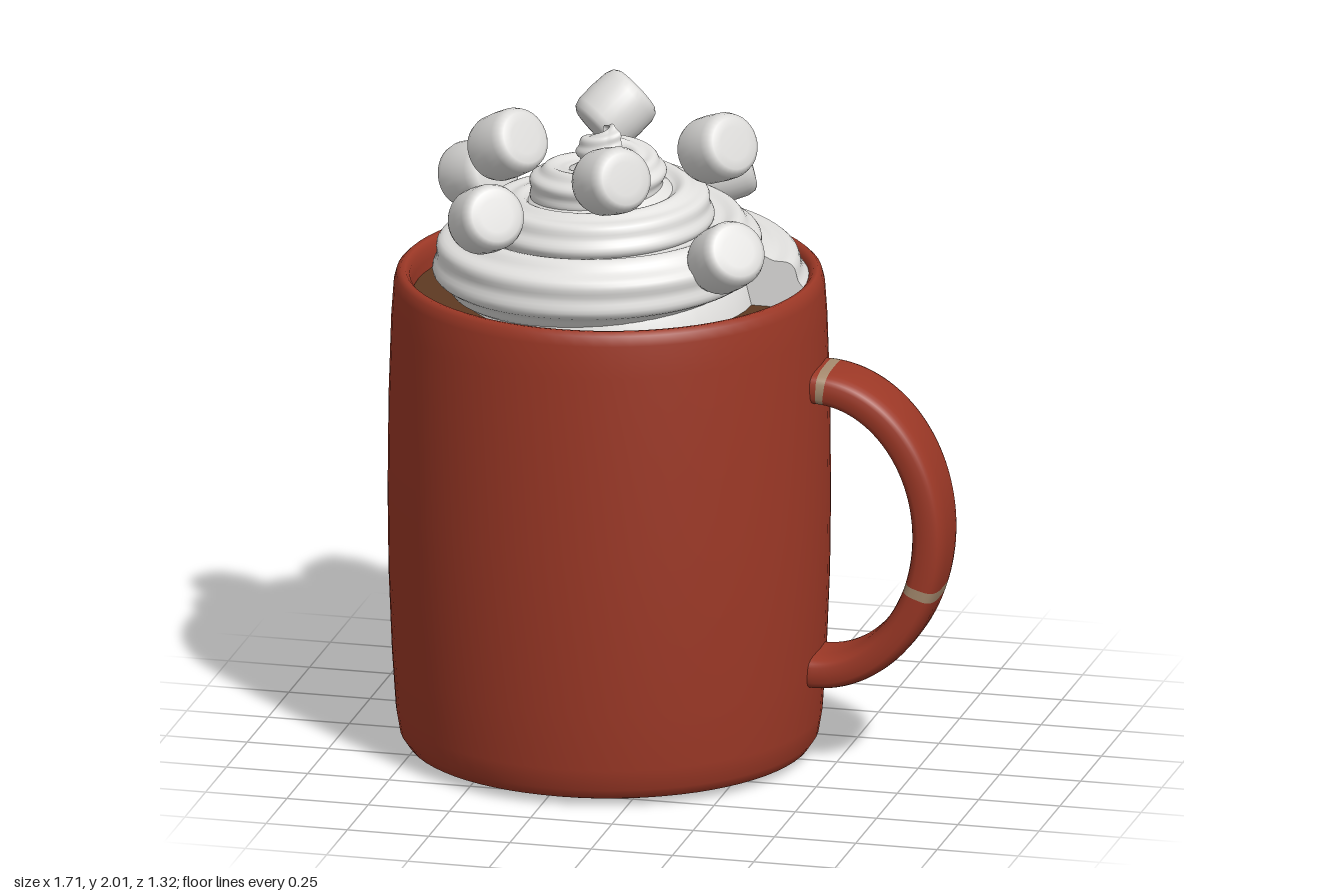
import * as THREE from 'three';

const mat = (name, color) => Object.assign(new THREE.MeshStandardMaterial({ color }), { name });
const V = (x, y, z) => new THREE.Vector3(x, y, z);

// Skin a list of closed rings; pick(i) gives the material slot of each band
function skin(rings, pick) {
  const n = rings[0].length, pos = [], idx = [];
  rings.forEach(r => r.forEach(p => pos.push(p.x, p.y, p.z)));
  const geo = new THREE.BufferGeometry();
  for (let i = 0; i < rings.length - 1; i++) {
    if (pick) geo.addGroup(idx.length, n * 6, pick(i));
    for (let j = 0; j < n; j++) {
      const k = (j + 1) % n, a = i * n, b = a + n;
      idx.push(a + j, b + j, a + k, b + j, b + k, a + k);
    }
  }
  geo.setAttribute('position', new THREE.Float32BufferAttribute(pos, 3));
  geo.setIndex(idx);
  geo.computeVertexNormals();
  return geo;
}

const lathe = (pts, seg) => new THREE.LatheGeometry(pts.map(p => new THREE.Vector2(...p)), seg);

export function createModel() {
  const group = new THREE.Group();
  const glaze = mat('red glaze', 0x9c3826);
  const clay = mat('bare clay', 0xa58a6e);
  const cocoaMat = mat('cocoa', 0x5e3a22);
  const creamMat = mat('cream white', 0xe2e1df);
  const marshMat = mat('marshmallow white', 0xdcdbd9);
  const cx = -0.2;

  function add(name, geo, material, x = 0, y = 0, z = 0) {
    const m = new THREE.Mesh(geo, material);
    m.name = name;
    m.position.set(x, y, z);
    group.add(m);
    return m;
  }

  // Mug body: outside, rounded rim and inside in one profile
  add('mugBody', lathe([
    [0, 0.006], [0.45, 0.004], [0.56, 0.01], [0.605, 0.025], [0.625, 0.055], [0.636, 0.12], [0.648, 0.3],
    [0.658, 0.55], [0.661, 0.8], [0.658, 1.1], [0.65, 1.35], [0.643, 1.45], [0.635, 1.48], [0.622, 1.492],
    [0.608, 1.49], [0.595, 1.475], [0.59, 1.44], [0.585, 1.2], [0.57, 0.12], [0, 0.1],
  ], 72), glaze, cx);
  add('baseSpot', new THREE.CylinderGeometry(0.14, 0.14, 0.006, 40), clay, cx, 0.003);
  add('cocoa', new THREE.CylinderGeometry(0.588, 0.588, 0.02, 64), cocoaMat, cx, 1.4);

  // Handle: flat rounded section along half an ellipse, with two bare bands
  const soft = v => Math.sign(v) * Math.abs(v) ** 0.6;
  const handleRings = [];
  for (let deg = 92; deg >= -92; deg -= 2) {
    const t = deg * Math.PI / 180, c = Math.cos(t), s = Math.sin(t);
    const centre = V(0.45 + 0.35 * c, 0.745 + 0.445 * s, 0);
    const out = V(0.445 * c, 0.35 * s, 0).normalize();
    handleRings.push(Array.from({ length: 24 }, (_, j) => {
      const f = j / 24 * Math.PI * 2;
      return centre.clone().addScaledVector(out, 0.053 * soft(Math.cos(f))).add(V(0, 0, -0.114 * soft(Math.sin(f))));
    }));
  }
  const isBand = i => {
    const deg = 92 - 2 * i;
    return (deg <= 88 && deg > 84) || (deg <= -20 && deg > -24);
  };
  add('handle', skin(handleRings, i => (isBand(i) ? 1 : 0)), [glaze, clay]);

  // Whipped cream: fluted rope coiling inward and upward
  const turns = 3.9, steps = 320, sides = 56, creamRings = [];
  for (let i = 0; i <= steps; i++) {
    const n = i / steps * turns, th = n * Math.PI * 2;
    const a = 0.115 - 0.018 * n;
    const rho = Math.max(0.595 - 0.142 * n - a, 0.012);
    const y = 1.45 + 0.115 * n;
    creamRings.push(Array.from({ length: sides }, (_, j) => {
      const f = j / sides * Math.PI * 2;
      const r = a * (1 + 0.07 * Math.cos(7 * f + th * 0.6));
      const d = rho + r * 1.05 * Math.cos(f);
      return V(d * Math.cos(th), y + r * Math.sin(f), -d * Math.sin(th));
    }));
  }
  add('creamSwirl', skin(creamRings), creamMat, cx);

  // Closed ends of the rope and the mound that fills the coil
  const mid = ring => ring.reduce((s, p) => s.add(p), V(0, 0, 0)).divideScalar(sides);
  const first = creamRings[0], last = creamRings[steps];
  add('creamEnd', skin([first.map(() => mid(first)), first]), creamMat, cx);
  add('creamTip', skin([last, last.map(() => mid(last))]), creamMat, cx);
  add('creamMound', lathe([[0.44, 1.4], [0.41, 1.52], [0.29, 1.66], [0.15, 1.78], [0, 1.87]], 48), creamMat, cx);

  // Marshmallows: soft-edged cylinders, position then axis direction
  const h = 0.09, r = 0.1;
  const marshGeo = lathe([
    [0, -h], [r * 0.5, -h], [r * 0.78, -h * 0.97], [r * 0.92, -h * 0.86], [r, -h * 0.6], [r * 1.02, 0],
    [r, h * 0.6], [r * 0.92, h * 0.86], [r * 0.78, h * 0.97], [r * 0.5, h], [0, h],
  ], 32);
  [
    [-0.655, 1.69, -0.2, 0.75, 0.3, 0.5],
    [0.03, 1.68, -0.45, 0.85, 0.25, -0.35],
    [0.115, 1.87, -0.07, 0.65, 0.35, 0.5],
    [-0.12, 1.86, 0.29, 0.6, 0.3, 0.6],
    [-0.475, 1.75, 0.41, 0.5, 0.35, 0.65],
    [0.23, 1.645, 0.28, 0.55, 0.45, 0.6],
    [-0.485, 1.89, 0.11, 0.65, 0.4, 0.45],
    [-0.26, 1.885, -0.31, 0.55, 0.55, -0.45],
  ].forEach(([x, y, z, ax, ay, az], i) => {
    const m = add('marshmallow' + (i + 1), marshGeo, marshMat, x, y, z);
    m.quaternion.setFromUnitVectors(V(0, 1, 0), V(ax, ay, az).normalize());
  });

  return group;
}
